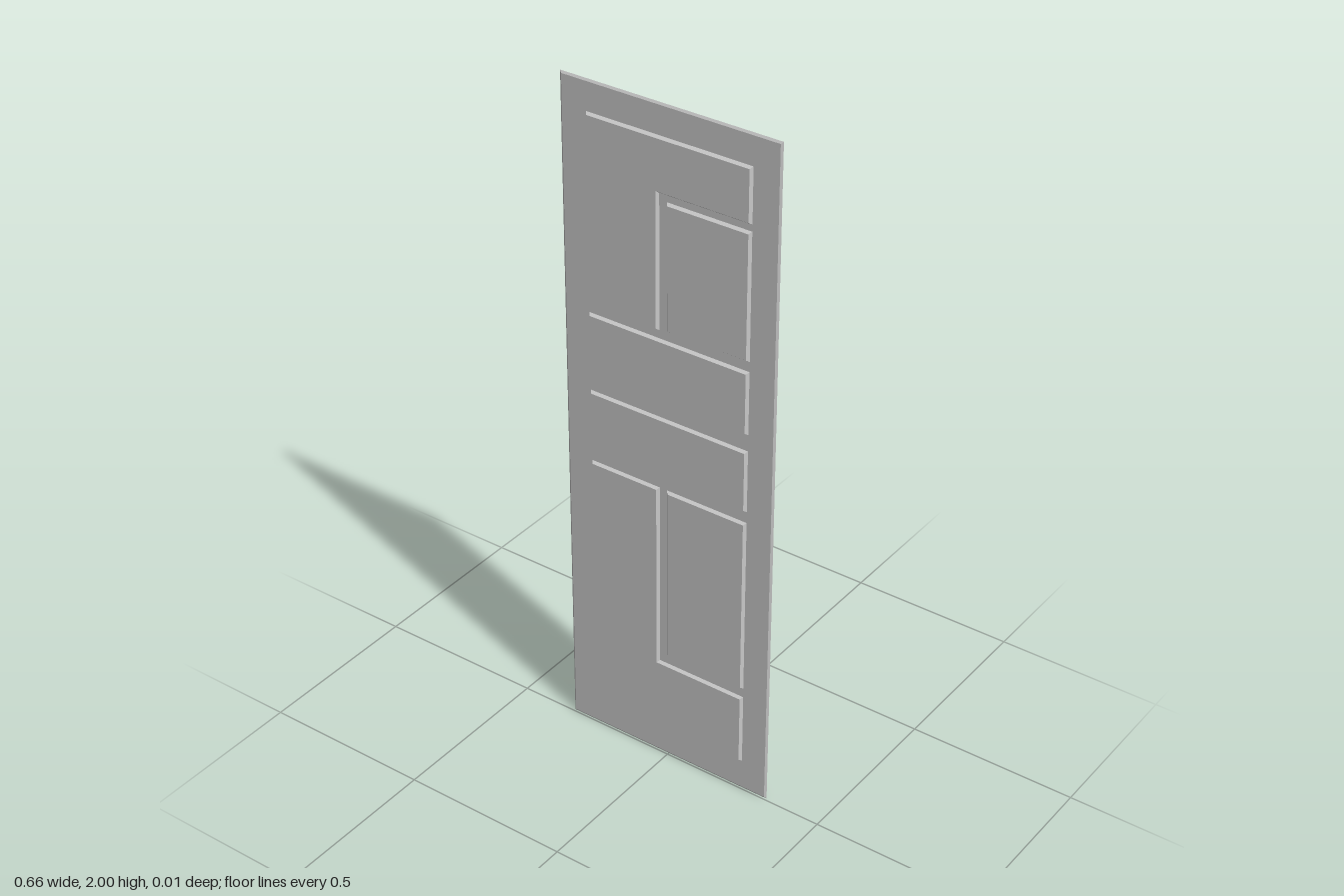
import * as THREE from 'three';
import { mergeGeometries } from 'three/addons/utils/BufferGeometryUtils.js';

const BACK = -0.007, FACE = -0.003, RAISED = 0.005, RECESS = 0.001;
const BEVEL = 0.003; // half the width of a sloping edge

const rect = (x0, x1, y0, y1) => [[x0, y0], [x1, y0], [x1, y1], [x0, y1]];

// Move every edge of a counter-clockwise right-angled outline inwards by d.
function inset(loop, d) {
  const n = loop.length;
  return loop.map(([x, y], i) => {
    const [px, py] = loop[(i + n - 1) % n], [qx, qy] = loop[(i + 1) % n];
    const nx = -Math.sign(y - py) - Math.sign(qy - y);
    const ny = Math.sign(x - px) + Math.sign(qx - x);
    return [x + nx * d, y + ny * d];
  });
}

// Reverse the triangles so that the surface faces the other way.
function flip(geo) {
  const p = geo.attributes.position;
  const a = new THREE.Vector3(), b = new THREE.Vector3();
  for (let i = 0; i < p.count; i += 3) {
    a.fromBufferAttribute(p, i);
    b.fromBufferAttribute(p, i + 1);
    p.setXYZ(i, b.x, b.y, b.z);
    p.setXYZ(i + 1, a.x, a.y, a.z);
  }
  geo.computeVertexNormals();
  return geo;
}

const toPath = (loop, Type) => new Type(loop.map(([x, y]) => new THREE.Vector2(x, y)));

// Flat surface at depth z, facing forwards.
function sheet(loop, z, holes = []) {
  const shape = toPath(loop, THREE.Shape);
  shape.holes = holes.map(h => toPath(h, THREE.Path));
  const geo = new THREE.ShapeGeometry(shape).translate(0, 0, z).toNonIndexed();
  geo.deleteAttribute('uv');
  return geo;
}

// Sloping band from an outer outline to an inner one.
function slope(outer, z0, inner, z1) {
  const pos = [];
  outer.forEach((a, i) => {
    const j = (i + 1) % outer.length;
    const p = [...a, z0], q = [...outer[j], z0], r = [...inner[j], z1], s = [...inner[i], z1];
    pos.push(...p, ...q, ...r, ...p, ...r, ...s);
  });
  const geo = new THREE.BufferGeometry();
  geo.setAttribute('position', new THREE.Float32BufferAttribute(pos, 3));
  geo.computeVertexNormals();
  return geo;
}

export function createModel() {
  const group = new THREE.Group();
  const material = new THREE.MeshStandardMaterial({ color: 0xcccccc, flatShading: true });
  const add = (name, parts) => {
    const mesh = new THREE.Mesh(mergeGeometries(parts), material);
    mesh.name = name;
    group.add(mesh);
  };

  // Outlines of the pressed panels
  const w = 0.246;
  const panels = {
    upperCornerPanel: [[-w, 1.37], [-0.03, 1.37], [-0.03, 1.76], [w, 1.76], [w, 1.91], [-w, 1.91]],
    upperInnerPanel: rect(0, w, 1.375, 1.735),
    upperMiddlePanel: rect(-w, w, 1.16, 1.34),
    lowerMiddlePanel: rect(-w, w, 0.925, 1.105),
    lowerInnerPanel: rect(0, w, 0.35, 0.885),
    lowerCornerPanel: [[-w, 0.1], [w, 0.1], [w, 0.315], [-0.03, 0.315], [-0.03, 0.885], [-w, 0.885]],
  };

  // Door sheet with bevelled rim
  const holes = Object.values(panels).map(p => inset(p, -BEVEL));
  const rim = rect(-0.33, 0.33, 0, 2), rimFront = inset(rim, 0.006);
  add('doorSheet', [
    sheet(rimFront, FACE, holes),
    slope(rim, BACK, rimFront, FACE),
    flip(sheet(rim, BACK, holes)),
  ]);

  // Panels: raised at the front, hollow at the back
  for (const [name, outline] of Object.entries(panels)) {
    const outer = inset(outline, -BEVEL), inner = inset(outline, BEVEL);
    add(name, [
      slope(outer, FACE, inner, RAISED),
      sheet(inner, RAISED),
      flip(slope(outer, BACK, inner, RECESS)),
      flip(sheet(inner, RECESS)),
    ]);
  }
  return group;
}
